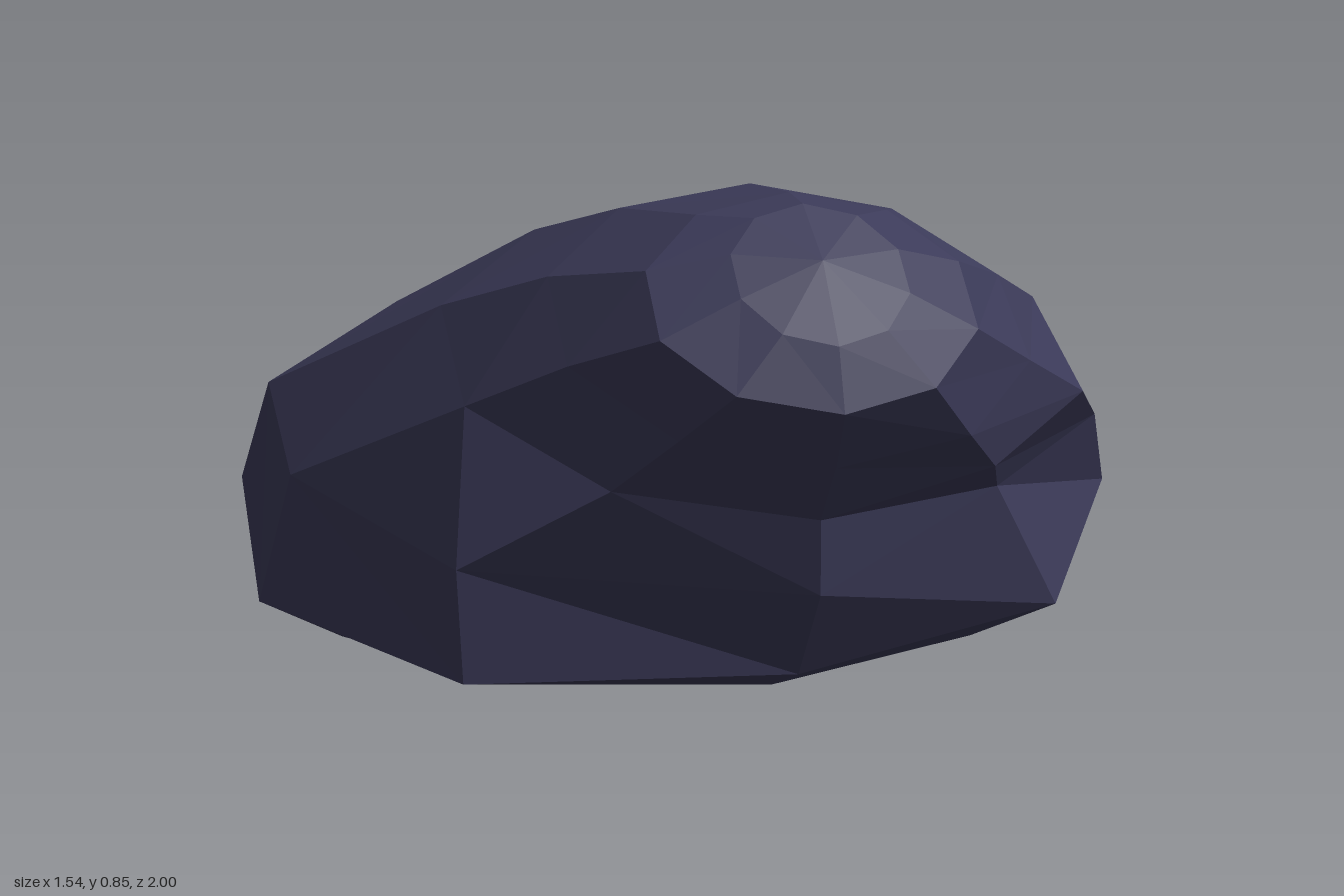
import * as THREE from 'three';

const SIDES = 10;

// Rings from the underside to the blunt nose: front and back point,
// half widths to either side, middle x and sideways tilt
const rings = [
  { front: [0.00, -0.20], back: [0.00, -0.20], right: 0, left: 0, x: 0.02, tilt: 0 },
  { front: [0.03, 0.27], back: [0.03, -0.66], right: 0.44, left: 0.47, x: 0.02, tilt: 0 },
  { front: [0.06, 0.57], back: [0.10, -0.83], right: 0.65, left: 0.65, x: 0.00, tilt: 0.025 },
  { front: [0.12, 0.72], back: [0.32, -1.00], right: 0.82, left: 0.80, x: 0.00, tilt: 0.03 },
  { front: [0.27, 0.83], back: [0.58, -0.61], right: 0.67, left: 0.75, x: 0.00, tilt: 0.015 },
  { front: [0.39, 0.86], back: [0.78, 0.15], right: 0.53, left: 0.50, x: -0.01, tilt: -0.01 },
  { front: [0.48, 0.93], back: [0.84, 0.47], right: 0.37, left: 0.37, x: -0.01, tilt: -0.01 },
  { front: [0.57, 1.00], back: [0.85, 0.72], right: 0.24, left: 0.25, x: -0.02, tilt: 0 },
  { front: [0.66, 0.97], back: [0.84, 0.79], right: 0.13, left: 0.13, x: -0.02, tilt: 0 },
  { front: [0.77, 0.89], back: [0.77, 0.89], right: 0, left: 0, x: -0.02, tilt: 0 },
];

// Small chips that break the regular form, keyed by ring and side
const chips = {
  '3,2': [0, 0.025, -0.08],
  '3,3': [0, 0, -0.03],
  '3,7': [0.02, 0, -0.05],
  '3,8': [0, -0.02, 0.04],
  '3,9': [-0.03, 0, 0.10],
  '4,1': [-0.07, 0.08, 0],
  '4,2': [0, 0.03, 0],
  '4,9': [-0.07, 0.01, -0.02],
  '4,8': [0, 0.01, -0.06],
  '4,7': [0, 0, 0],
  '5,1': [-0.02, 0.02, 0],
  '5,4': [0.02, 0, 0],
};

function ringPoint(r, i) {
  const ring = rings[r];
  const side = i % SIDES;
  const angle = (side / SIDES) * Math.PI * 2;
  const s = Math.sin(angle);
  const t = (1 - Math.cos(angle)) / 2;
  const p = new THREE.Vector3(
    ring.x + s * (s > 0 ? ring.right : ring.left),
    THREE.MathUtils.lerp(ring.front[0], ring.back[0], t) + ring.tilt * s,
    THREE.MathUtils.lerp(ring.front[1], ring.back[1], t),
  );
  const chip = chips[`${r},${side}`];
  return chip ? p.add(new THREE.Vector3(...chip)) : p;
}

// Faceted skin between neighbouring rings
function boulderGeometry() {
  const points = [];
  const last = rings.length - 2;
  for (let r = 0; r <= last; r++) {
    for (let i = 0; i < SIDES; i++) {
      const a = ringPoint(r, i);
      const b = ringPoint(r, i + 1);
      const c = ringPoint(r + 1, i + 1);
      const d = ringPoint(r + 1, i);
      if (r > 0) points.push(a, b, d);
      if (r < last) points.push(b, c, d);
    }
  }
  const geometry = new THREE.BufferGeometry().setFromPoints(points);
  geometry.computeVertexNormals();
  return geometry;
}

export function createModel() {
  const model = new THREE.Group();
  model.name = 'rock';
  const slate = new THREE.MeshStandardMaterial({ color: 0x3b3a58 });
  slate.name = 'dark slate';
  const boulder = new THREE.Mesh(boulderGeometry(), slate);
  boulder.name = 'boulder';
  model.add(boulder);
  return model;
}
